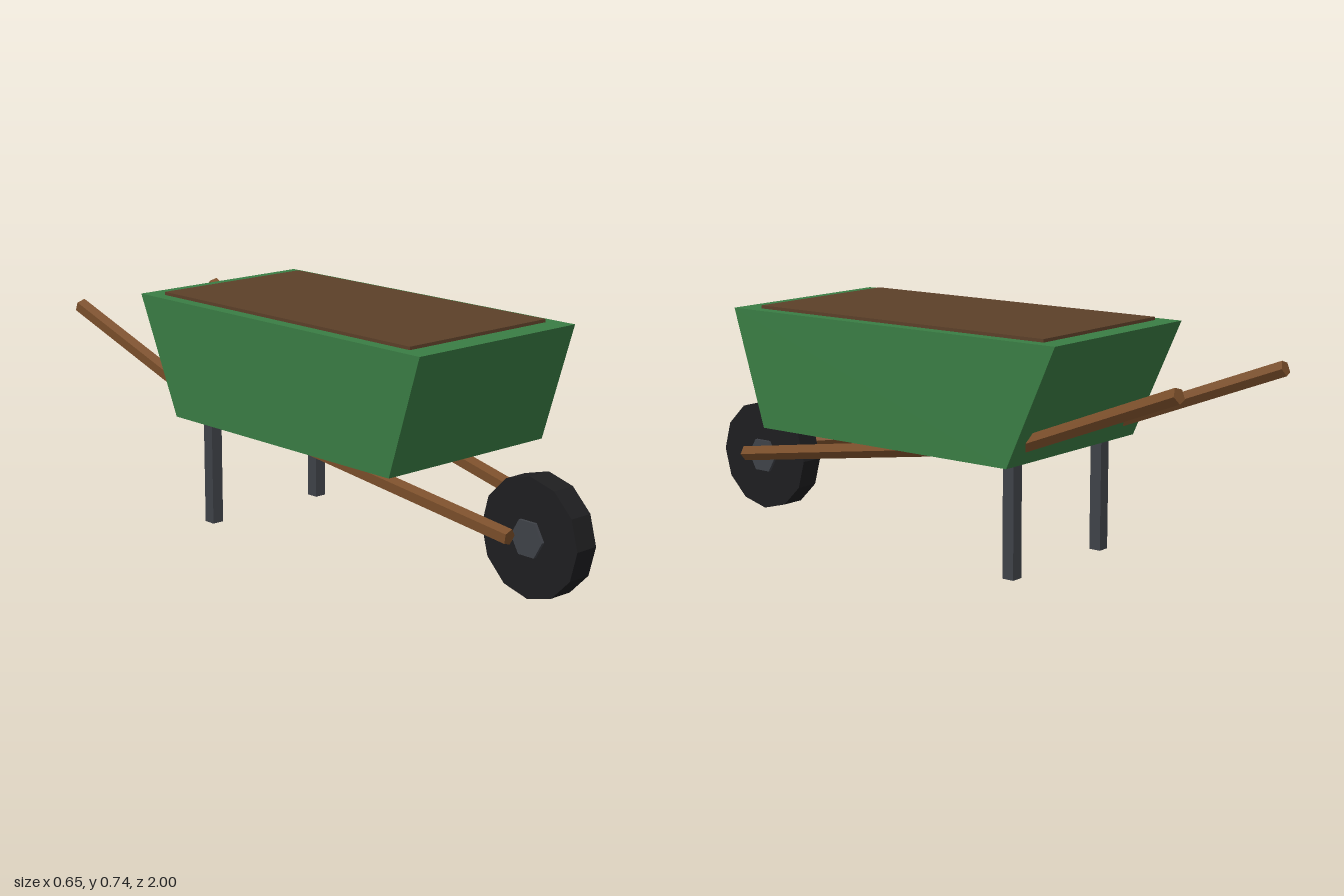
import * as THREE from 'three';

const mat = (color) => new THREE.MeshStandardMaterial({ color, flatShading: true });

export function createModel() {
  const group = new THREE.Group();
  const green = mat(0x3a7d44), soilBrown = mat(0x5c4029), wood = mat(0x7a4e2a);
  const metal = mat(0x3f4248), rubber = mat(0x1e1e20);

  const add = (name, geometry, material, parent = group) => {
    const mesh = new THREE.Mesh(geometry, material);
    mesh.name = name;
    parent.add(mesh);
    return mesh;
  };

  // Tray: side profile (z, y) extruded across the width
  const width = 0.65;
  const profile = new THREE.Shape(
    [[0.535, 0.357], [0.655, 0.731], [-0.605, 0.731], [-0.435, 0.357]].map(([z, y]) => new THREE.Vector2(-z, y))
  );
  const trayGeometry = new THREE.ExtrudeGeometry(profile, { depth: width, bevelEnabled: false });
  trayGeometry.translate(0, 0, -width / 2).rotateY(Math.PI / 2);
  add('tray', trayGeometry, green);

  // Soil slab standing just proud of the rim
  add('soil', new THREE.BoxGeometry(0.568, 0.06, 1.11), soilBrown).position.set(0, 0.711, 0.02);

  // Wheel and hub on a crosswise axle
  const wheel = new THREE.Group();
  wheel.name = 'wheel';
  wheel.position.set(0, 0.1835, 0.8165);
  group.add(wheel);
  const disc = (radius, length, sides) => new THREE.CylinderGeometry(radius, radius, length, sides).rotateZ(Math.PI / 2);
  add('tyre', disc(0.1835, 0.08, 12), rubber, wheel);
  add('hub', disc(0.06, 0.1, 6), metal, wheel);

  // Five-sided pole between two points, one corner kept towards +x
  const pole = (name, a, b, parent) => {
    const y = b.clone().sub(a).normalize();
    const z = new THREE.Vector3(1, 0, 0).addScaledVector(y, -y.x).normalize();
    const x = y.clone().cross(z);
    const mesh = add(name, new THREE.CylinderGeometry(0.025, 0.025, a.distanceTo(b), 5), wood, parent);
    mesh.quaternion.setFromRotationMatrix(new THREE.Matrix4().makeBasis(x, y, z));
    mesh.position.copy(a).lerp(b, 0.5);
  };

  for (const [side, s] of [['left', 1], ['right', -1]]) {
    // Handle: shaft from the wheel, bent upward inside the tray to the grip
    const handle = new THREE.Group();
    handle.name = side + 'Handle';
    group.add(handle);
    const front = new THREE.Vector3(s * 0.123, 0.204, 0.818);
    const bend = new THREE.Vector3(s * 0.248, 0.41, -0.42);
    const back = new THREE.Vector3(s * 0.285, 0.631, -0.992);
    pole('shaft', front, bend, handle);
    pole('grip', bend, back, handle);

    // Leg
    add(side + 'Leg', new THREE.BoxGeometry(0.04, 0.38, 0.04), metal).position.set(s * 0.223, 0.19, -0.38);
  }
  return group;
}
